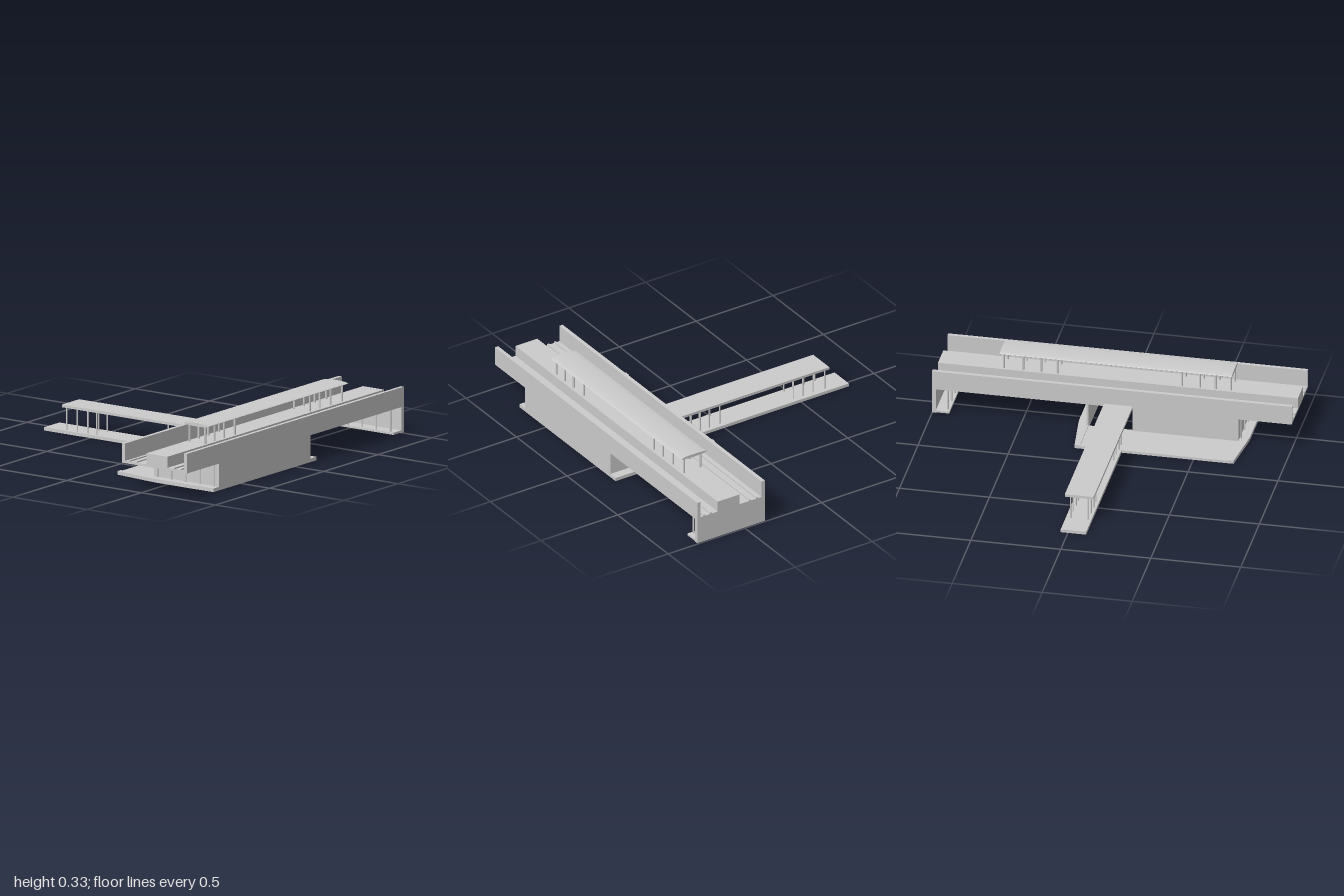
import * as THREE from 'three';

const grey = new THREE.MeshStandardMaterial({ color: 0xcccccc, flatShading: true });

export function createModel() {
  const root = new THREE.Group();

  function add(parent, name, geometry) {
    const mesh = new THREE.Mesh(geometry, grey);
    mesh.name = name;
    parent.add(mesh);
    return mesh;
  }

  // box given by its two extremes on each axis
  function box(parent, name, x0, x1, y0, y1, z0, z1) {
    const g = new THREE.BoxGeometry(x1 - x0, y1 - y0, z1 - z0);
    g.translate((x0 + x1) / 2, (y0 + y1) / 2, (z0 + z1) / 2);
    return add(parent, name, g);
  }

  function post(parent, name, x, z, y0, y1, r = 0.005) {
    const g = new THREE.CylinderGeometry(r, r, y1 - y0, 8);
    g.translate(x, (y0 + y1) / 2, z);
    return add(parent, name, g);
  }

  function group(name) {
    const g = new THREE.Group();
    g.name = name;
    root.add(g);
    return g;
  }

  const FRONT = 0.81, BACK = 0.37;

  // viaduct: deck, parapets, rails and island platform
  const viaduct = group('viaduct');
  box(viaduct, 'trackDeck', -1, 1, 0.15, 0.163, BACK, FRONT);
  box(viaduct, 'frontParapet', -1, 1, 0.15, 0.26, 0.79, FRONT);
  box(viaduct, 'backParapet', -1, 1, 0.15, 0.26, BACK, 0.392);
  box(viaduct, 'islandPlatform', -1, 1, 0.16, 0.225, 0.535, 0.677);
  for (const z of [0.42, 0.465, 0.72, 0.765])
    box(viaduct, 'rail', -1, 1, 0.16, 0.17, z - 0.006, z + 0.006);

  // lens-shaped platform canopy on two rows of posts
  const canopy = group('platformCanopy');
  const lens = new THREE.Shape();
  lens.absellipse(0, 0, 0.084, 0.009, 0, Math.PI * 2);
  const roof = new THREE.ExtrudeGeometry(lens, { depth: 1.29, bevelEnabled: false, curveSegments: 10 });
  roof.rotateY(Math.PI / 2);
  roof.translate(-0.635, 0.325, 0.603);
  add(canopy, 'canopyRoof', roof);
  for (const x of [-0.625, -0.54, -0.453, -0.353, 0.34, 0.43, 0.53, 0.637])
    for (const z of [0.552, 0.658]) post(canopy, 'canopyPost', x, z, 0.22, 0.325, 0.006);

  // hollow station hall below the deck, with a doorway in the back wall
  const hall = group('stationHall');
  box(hall, 'frontWall', -0.705, 0.14, 0, 0.15, 0.8, FRONT);
  box(hall, 'rightEndWall', -0.705, -0.695, 0, 0.15, BACK, FRONT);
  box(hall, 'leftEndWall', 0.13, 0.14, 0, 0.15, BACK, FRONT);
  box(hall, 'backWall', -0.705, -0.115, 0, 0.15, BACK, 0.38);

  // forecourt and side pavements around the hall
  const ground = group('forecourt');
  box(ground, 'forecourtSlab', -0.695, 0.13, 0, 0.015, 0.14, 0.38);
  for (const s of [-1, 1]) {
    const outline = new THREE.Shape([
      [0.4125, 0.14], [0.442, 0.14], [0.47, 0.37], [0.475, 0.42], [0.475, FRONT], [0.4125, FRONT],
    ].map(([x, z]) => new THREE.Vector2(s * x, z)));
    const g = new THREE.ExtrudeGeometry(outline, { depth: 0.02, bevelEnabled: false });
    g.rotateX(Math.PI / 2);
    g.translate(-0.2825, 0.02, 0);
    add(ground, 'sidePavement', g);
  }
  for (let i = 0; i < 5; i++)
    post(ground, 'pavementPost', -0.713, 0.4 + i * 0.095, 0.015, 0.15);

  // covered walkway running to the back
  const walkway = group('walkway');
  box(walkway, 'walkwaySlab', -0.102, 0.04, 0, 0.018, -0.81, 0.14);
  box(walkway, 'walkwayRoof', -0.116, 0.044, 0.15, 0.165, -0.68, BACK);
  for (const z of [0.2, 0.142, 0.083, 0.015, -0.467, -0.527, -0.597, -0.67])
    for (const x of [-0.085, 0.013]) post(walkway, 'walkwayPost', x, z, 0.01, 0.155, 0.004);

  // entrance at the far end: end wall, footing and slim posts
  const entrance = group('endEntrance');
  box(entrance, 'endWall', 0.978, 1, 0.005, 0.155, BACK, FRONT);
  box(entrance, 'entranceFooting', 0.903, 1, 0.008, 0.02, BACK, FRONT);
  for (let i = 0; i < 5; i++) {
    const z = 0.4 + i * 0.095;
    post(entrance, 'entrancePost', 0.916, z, 0.015, 0.155);
    box(entrance, 'postBracket', 0.916, 0.93, 0.14, 0.152, z - 0.004, z + 0.004);
  }

  return root;
}
